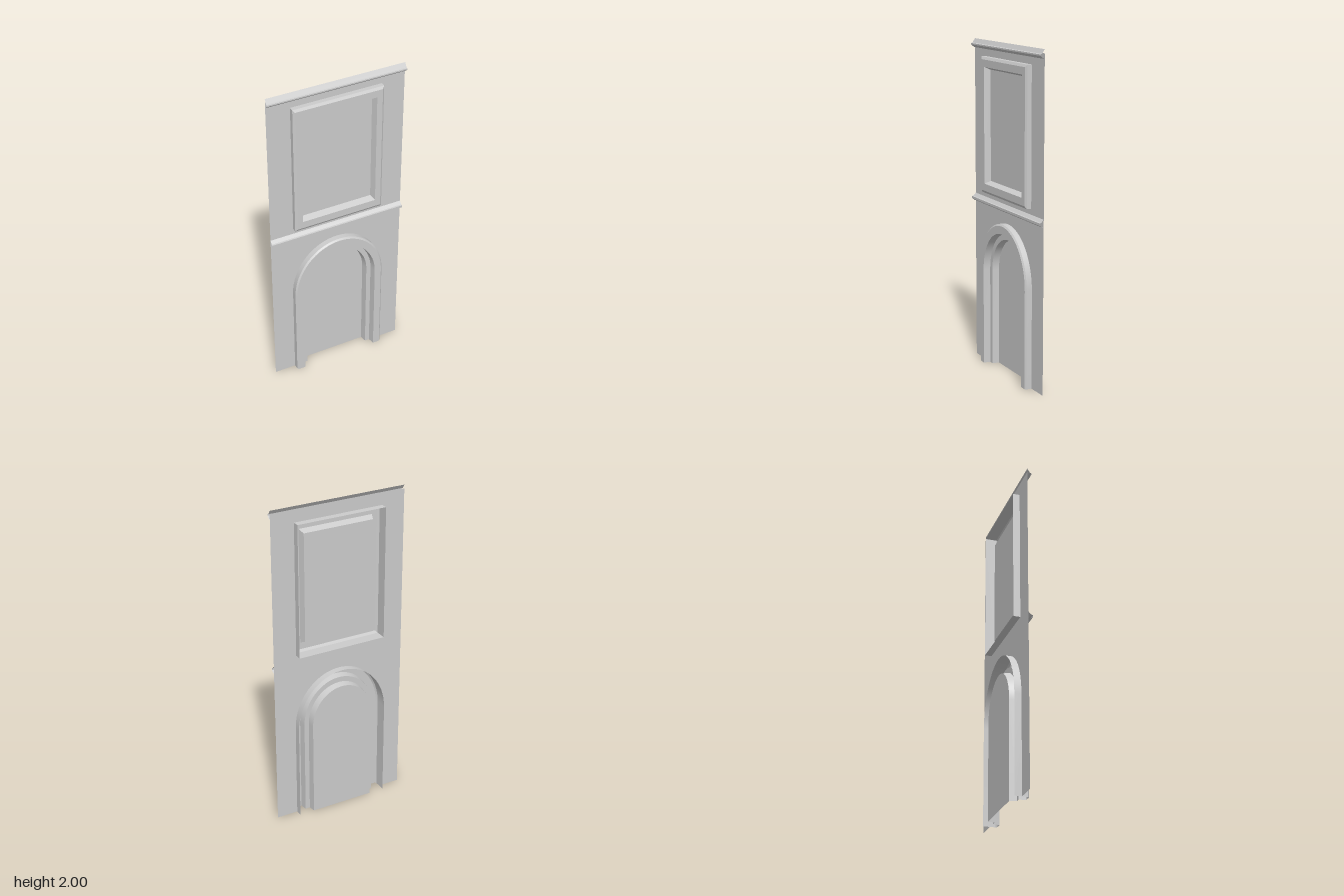
import * as THREE from 'three';
import { toCreasedNormals } from 'three/addons/utils/BufferGeometryUtils.js';

const HALF = 0.429;      // half width of the wall
const BACK = -0.042;     // rearmost depth of the niche and the frame
const SPRING = 0.6;      // height where the arch starts to curve
const SEGMENTS = 32;

const material = new THREE.MeshStandardMaterial({ color: 0xcccccc, side: THREE.DoubleSide });

function addMesh(group, name, geometry, z = 0) {
  const mesh = new THREE.Mesh(geometry, material);
  mesh.name = name;
  mesh.position.z = z;
  group.add(mesh);
}

// Skin a list of rows of [x, y, z] points, keeping the moulding edges sharp
function loft(rows) {
  const n = rows[0].length;
  const index = [];
  for (let j = 0; j < rows.length - 1; j++) {
    for (let i = 0; i < n - 1; i++) {
      const a = j * n + i, b = a + n;
      index.push(a, b, b + 1, a, b + 1, a + 1);
    }
  }
  const geometry = new THREE.BufferGeometry();
  geometry.setAttribute('position', new THREE.Float32BufferAttribute(rows.flat(2), 3));
  geometry.setIndex(index);
  return toCreasedNormals(geometry, Math.PI / 9);
}

// Outline of the slightly tall arch with half width r, from the left foot to the right foot
function archOutline(r) {
  const points = [[-r, 0]];
  for (let i = 0; i <= SEGMENTS; i++) {
    const t = Math.PI * (1 - i / SEGMENTS);
    points.push([r * Math.cos(t), SPRING + 1.13 * r * Math.sin(t)]);
  }
  points.push([r, 0]);
  return points;
}

// Closed outline of the upper frame with half width w; rails are wider than stiles
function frameOutline(w) {
  const cy = 1.493, h = 0.411 - (0.283 - w) * 1.25;
  return [[-w, cy - h], [-w, cy + h], [w, cy + h], [w, cy - h], [-w, cy - h]];
}

const toShape = (points) => new THREE.Shape(points.map(([x, y]) => new THREE.Vector2(x, y)));

// Moulding around an outline: profile points are [half width, z], outside to inside
const moulding = (outline, profile) =>
  loft(profile.map(([w, z]) => outline(w).map(([x, y]) => [x, y, z])));

export function createModel() {
  const group = new THREE.Group();

  const archProfile = [
    [0.295, BACK], [0.295, 0.034], [0.286, 0.042], [0.243, 0.042],
    [0.236, 0], [0.207, 0], [0.2, BACK],
  ];
  const frameProfile = [
    [0.283, BACK], [0.283, 0.028], [0.271, 0.037], [0.236, 0.037], [0.223, 0],
  ];

  // Thin wall with openings for the arch and the frame, ending just below the top of the cornice
  const wall = toShape([
    [-HALF, 0], ...archOutline(0.295), [HALF, 0], [HALF, 1.977], [-HALF, 1.977],
  ]);
  wall.holes.push(new THREE.Path(toShape(frameOutline(0.283)).getPoints()));
  addMesh(group, 'wall', new THREE.ShapeGeometry(wall));

  // Arched niche with a deep back panel
  addMesh(group, 'archMoulding', moulding(archOutline, archProfile));
  addMesh(group, 'archPanel', new THREE.ShapeGeometry(toShape(archOutline(0.2))), BACK);

  // Rectangular frame, hollow behind, with its panel flush with the wall
  addMesh(group, 'frameMoulding', moulding(frameOutline, frameProfile));
  addMesh(group, 'framePanel', new THREE.ShapeGeometry(toShape(frameOutline(0.223))));

  // Horizontal trims, open at the ends: points are [z, distance below the top]
  const trims = [
    ['cornice', 2, [[0, 0], [0.017, 0.025], [0.026, 0.028], [0.026, 0.036], [0.01, 0.05], [0, 0.054]]],
    ['middleRail', 1.047, [[0, 0], [0.017, 0.017], [0.026, 0.019], [0.026, 0.033], [0.01, 0.044], [0, 0.047]]],
  ];
  for (const [name, top, profile] of trims) {
    addMesh(group, name, loft(profile.map(([z, d]) => [[-HALF, top - d, z], [HALF, top - d, z]])));
  }

  return group;
}
